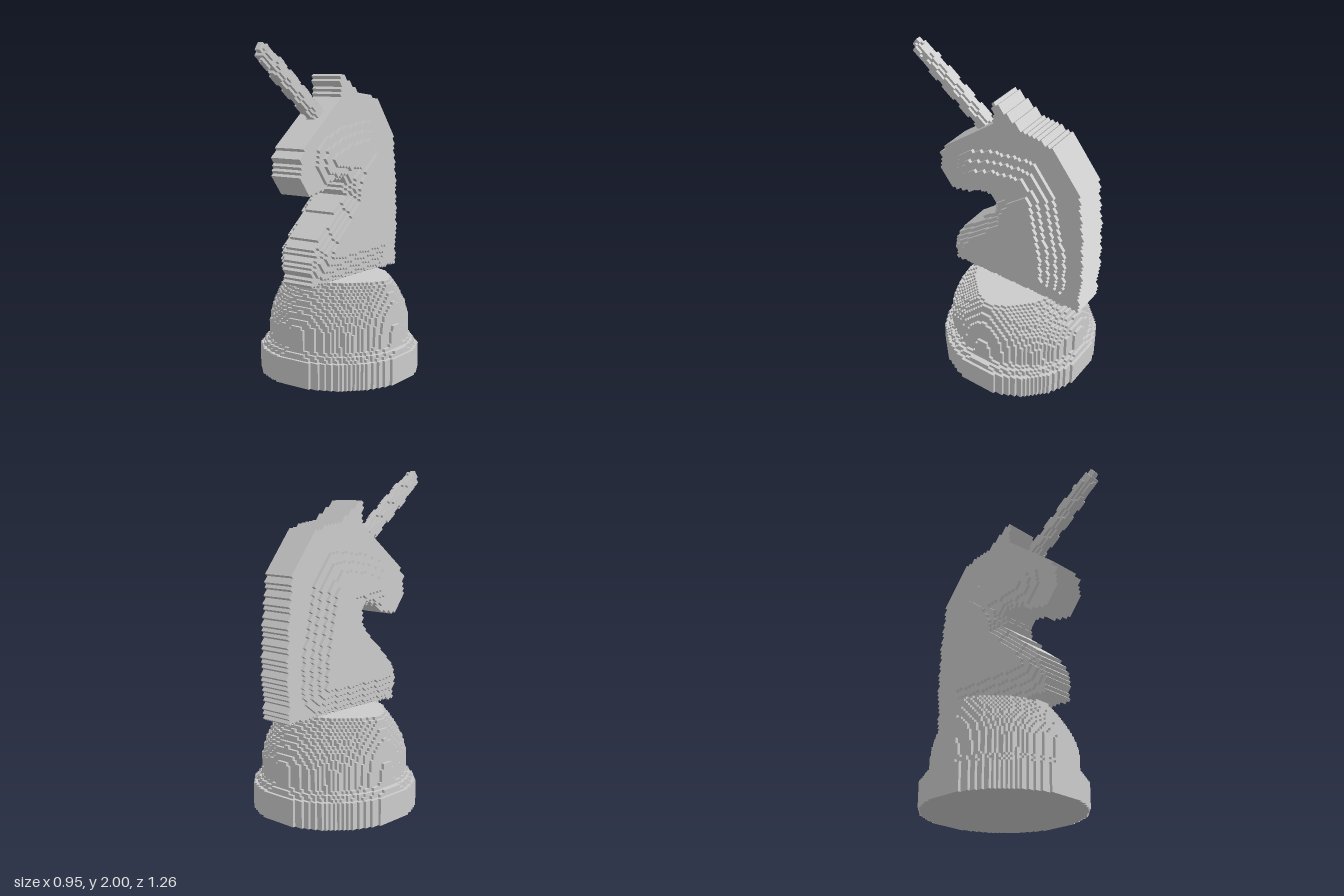
import * as THREE from 'three';

const material = new THREE.MeshStandardMaterial({ color: 0xcccccc, flatShading: true });

// Blocky solid: fills cells of size s whose centre passes inside(x, y, z), keeping only exposed faces
function blocks(name, s, [nx, ny, nz], inside) {
  const filled = new Set();
  const key = (i, j, k) => `${i},${j},${k}`;
  for (let i = -nx; i < nx; i++)
    for (let j = -ny; j < ny; j++)
      for (let k = -nz; k < nz; k++)
        if (inside((i + 0.5) * s, (j + 0.5) * s, (k + 0.5) * s)) filled.add(key(i, j, k));
  const positions = [], indices = [];
  for (const id of filled) {
    const cell = id.split(',').map(Number);
    for (let axis = 0; axis < 3; axis++) {
      for (const dir of [-1, 1]) {
        const next = [...cell];
        next[axis] += dir;
        if (filled.has(key(...next))) continue;
        const b = (axis + 1) % 3, c = (axis + 2) % 3;
        const first = positions.length / 3;
        for (const [u, v] of [[0, 0], [1, 0], [1, 1], [0, 1]]) {
          const p = [...cell];
          p[axis] += dir > 0 ? 1 : 0;
          p[b] += u;
          p[c] += v;
          positions.push(p[0] * s, p[1] * s, p[2] * s);
        }
        const order = dir > 0 ? [0, 1, 2, 0, 2, 3] : [0, 2, 1, 0, 3, 2];
        indices.push(...order.map((n) => first + n));
      }
    }
  }
  const geometry = new THREE.BufferGeometry();
  geometry.setAttribute('position', new THREE.Float32BufferAttribute(positions, 3));
  geometry.setIndex(indices);
  const flat = geometry.toNonIndexed();
  flat.computeVertexNormals();
  const mesh = new THREE.Mesh(flat, material);
  mesh.name = name;
  return mesh;
}

// Signed distance from (z, y) to a polygon, negative inside
function polygonDistance(poly, z, y) {
  let best = Infinity, within = false;
  poly.forEach(([az, ay], n) => {
    const [bz, by] = poly[(n + 1) % poly.length];
    const dz = bz - az, dy = by - ay;
    const t = THREE.MathUtils.clamp(((z - az) * dz + (y - ay) * dy) / (dz * dz + dy * dy), 0, 1);
    best = Math.min(best, Math.hypot(z - az - t * dz, y - ay - t * dy));
    if (ay > y !== by > y && z < az + (dz * (y - ay)) / dy) within = !within;
  });
  return within ? -best : best;
}

// Linear lookup of [y, radiusX, radiusZ, exponent] rows
function sampleRows(rows, y) {
  let n = 0;
  while (n < rows.length - 2 && y > rows[n + 1][0]) n++;
  const a = rows[n], b = rows[n + 1];
  const t = THREE.MathUtils.clamp((y - a[0]) / (b[0] - a[0]), 0, 1);
  return a.map((v, i) => v + (b[i] - v) * t);
}

const baseRows = [
  [0, 0.485, 0.485, 2], [0.155, 0.485, 0.485, 2], [0.16, 0.465, 0.465, 2], [0.19, 0.455, 0.455, 2],
  [0.21, 0.42, 0.435, 2], [0.34, 0.415, 0.435, 2], [0.42, 0.41, 0.405, 1.9],
  [0.5, 0.39, 0.36, 1.75], [0.57, 0.37, 0.31, 1.6], [0.6, 0.35, 0.295, 1.5],
];

// Side outline of the head and neck as [z, y]
const outline = [
  [0.28, 0.6], [0.28, 0.7], [0.25, 0.83], [-0.03, 1.1], [-0.03, 1.19], [0.0, 1.215], [0.115, 1.2],
  [0.19, 1.15], [0.29, 1.13], [0.375, 1.23], [0.375, 1.37], [0.345, 1.405], [-0.015, 1.685],
  [0.0, 1.84], [-0.125, 1.76], [-0.2, 1.71], [-0.31, 1.69], [-0.4, 1.66], [-0.575, 1.46],
  [-0.595, 1.34], [-0.615, 1.18], [-0.63, 0.86], [-0.615, 0.6],
];
// Widest areas that the flanks step down from
const neckCore = [[0.15, 0.78], [-0.22, 1.28], [-0.28, 1.32], [-0.36, 0.95], [-0.37, 0.78]];
const cheekCore = [[0.1, 1.33], [-0.04, 1.3], [-0.2, 1.3], [-0.24, 1.4], [-0.05, 1.38]];

function halfWidth(z, y) {
  const neck = 0.19 - 0.5 * Math.max(0, polygonDistance(neckCore, z, y));
  const cheek = 0.17 - 0.4 * Math.max(0, polygonDistance(cheekCore, z, y));
  const edge = 0.105 - 1.1 * Math.min(0, polygonDistance(outline, z, y));
  return Math.max(0.105, Math.min(edge, Math.max(neck, cheek)));
}

export function createModel() {
  const group = new THREE.Group();
  group.name = 'unicornChessPiece';

  // Stepped pedestal, round below and lens-shaped on top
  const base = blocks('base', 0.6 / 34, [29, 34, 29], (x, y, z) => {
    if (y < 0 || y > 0.6) return false;
    const [, rx, rz, p] = sampleRows(baseRows, y);
    return Math.pow(Math.abs(x) / rx, p) + Math.pow(Math.abs(z) / rz, p) < 1;
  });
  base.position.z = -0.14;
  group.add(base);

  // Head and neck, with block rows running along the sloping forehead
  const tilt = THREE.MathUtils.degToRad(38);
  const cos = Math.cos(tilt), sin = Math.sin(tilt);
  const centreY = 1.2, centreZ = -0.13;
  const horse = blocks('headAndNeck', 0.021, [11, 40, 40], (x, v, u) => {
    const y = centreY + v * cos - u * sin;
    const z = centreZ + v * sin + u * cos;
    return polygonDistance(outline, z, y) < 0 && Math.abs(x) < halfWidth(z, y);
  });
  horse.rotation.x = tilt;
  horse.position.set(0, centreY, centreZ);
  group.add(horse);

  // Tapering horn with a shallow spiral groove, pointing up and forward
  const horn = blocks('horn', 0.0165, [4, 4, 22], (x, y, z) => {
    if (z < -0.36 || z > 0.335) return false;
    const groove = 0.004 * Math.cos(Math.atan2(y, x) - z * 45);
    const radius = 0.049 + groove - 0.045 * Math.max(0, z - 0.1);
    const tip = z > 0.3 ? 0.016 : 0;
    return Math.hypot(x, y) < radius - tip;
  });
  horn.rotation.x = -THREE.MathUtils.degToRad(37);
  horn.position.set(0, 1.775, 0.35);
  group.add(horn);

  return group;
}
